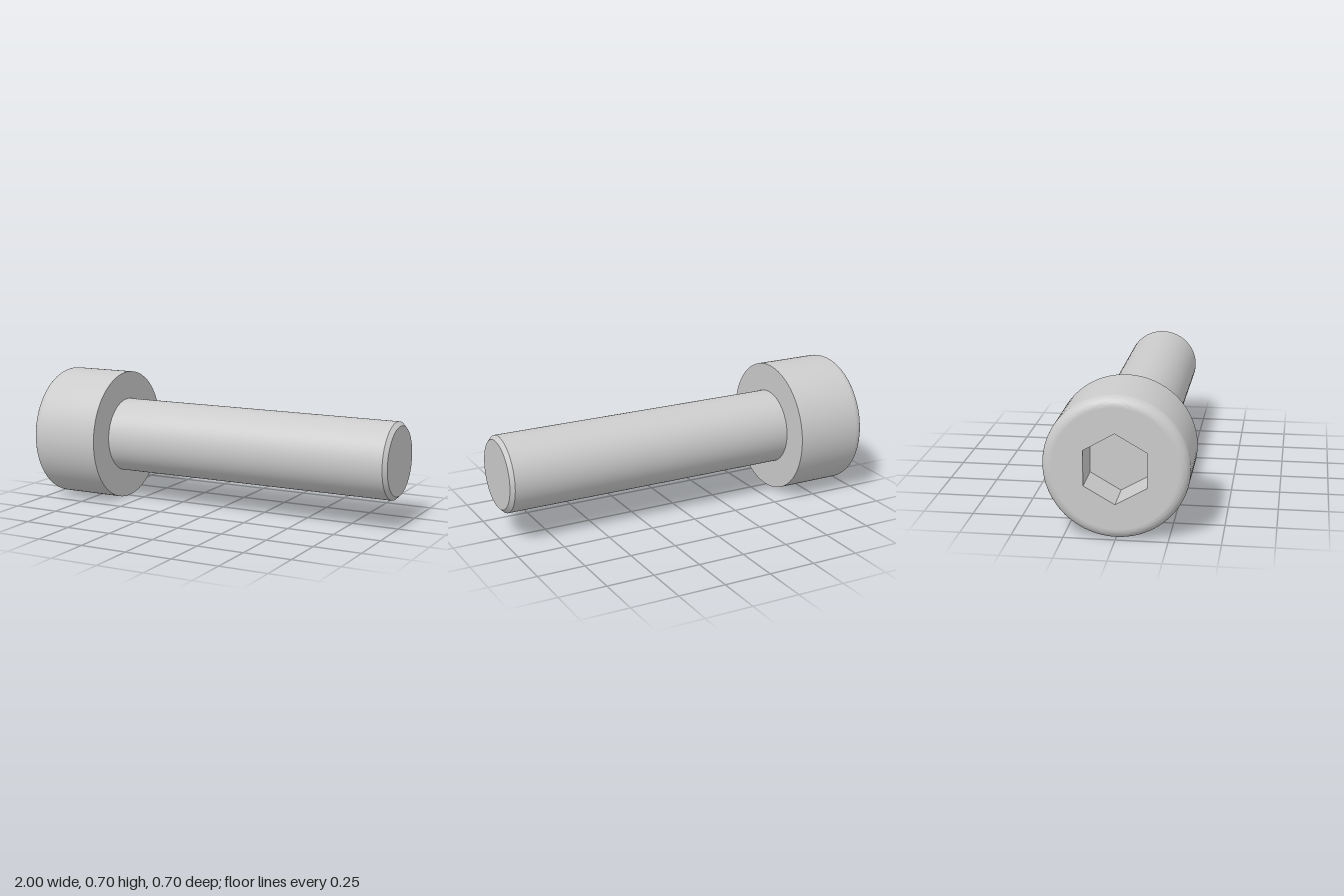
import * as THREE from 'three';
import { toCreasedNormals } from 'three/addons/utils/BufferGeometryUtils.js';

const SEGMENTS = 96;
const AXIS_Y = 0.35;          // height of the screw axis
const HEAD_R = 0.35, FILLET = 0.05;
const SHANK_R = 0.2, CHAMFER = 0.02;
const SOCKET_R = 0.3 / Math.sqrt(3); // corner radius for 0.3 across flats
const SOCKET_DEPTH = 0.2;

// Revolve [radius, x] points about the x axis, listed from -x to +x
function turned(points) {
  const profile = points.map(([r, x]) => new THREE.Vector2(r, x));
  const geometry = new THREE.LatheGeometry(profile, SEGMENTS).rotateZ(-Math.PI / 2);
  return toCreasedNormals(geometry, 0.5);
}

export function createModel() {
  const screw = new THREE.Group();
  screw.name = 'socketHeadScrew';
  const material = new THREE.MeshStandardMaterial({ color: 0xcccccc });
  const add = (name, geometry) => {
    const mesh = new THREE.Mesh(geometry, material);
    mesh.name = name;
    mesh.position.y = AXIS_Y;
    screw.add(mesh);
  };

  // Head side with rounded outer rim and flat underside
  const headProfile = [];
  for (let i = 0; i <= 10; i++) {
    const a = (i / 10) * Math.PI / 2;
    headProfile.push([HEAD_R - FILLET + FILLET * Math.sin(a), -1 + FILLET - FILLET * Math.cos(a)]);
  }
  headProfile.push([HEAD_R, -0.6], [SHANK_R, -0.6]);
  add('head', turned(headProfile));

  // Flat head face with the hexagonal opening
  const face = new THREE.Shape().absarc(0, 0, HEAD_R - FILLET, 0, Math.PI * 2);
  const corners = [];
  for (let i = 0; i < 6; i++) {
    const a = Math.PI / 2 - i * Math.PI / 3;
    corners.push(new THREE.Vector2(SOCKET_R * Math.cos(a), SOCKET_R * Math.sin(a)));
  }
  face.holes.push(new THREE.Path(corners));
  add('headFace', new THREE.ShapeGeometry(face, SEGMENTS).rotateY(-Math.PI / 2).translate(-1, 0, 0));

  // Socket walls, turned inside out so they face the axis
  const walls = new THREE.CylinderGeometry(SOCKET_R, SOCKET_R, SOCKET_DEPTH, 6, 1, true, Math.PI / 2)
    .scale(1, -1, 1)
    .rotateZ(-Math.PI / 2)
    .translate(-1 + SOCKET_DEPTH / 2, 0, 0);
  add('socketWalls', toCreasedNormals(walls, 0.5));

  // Socket floor
  add('socketFloor', new THREE.CircleGeometry(SOCKET_R, 6, Math.PI / 2)
    .rotateY(-Math.PI / 2)
    .translate(-1 + SOCKET_DEPTH, 0, 0));

  // Plain shank with chamfered tip
  add('shank', turned([[SHANK_R, -0.6], [SHANK_R, 1 - CHAMFER], [SHANK_R - CHAMFER, 1], [0, 1]]));

  return screw;
}
